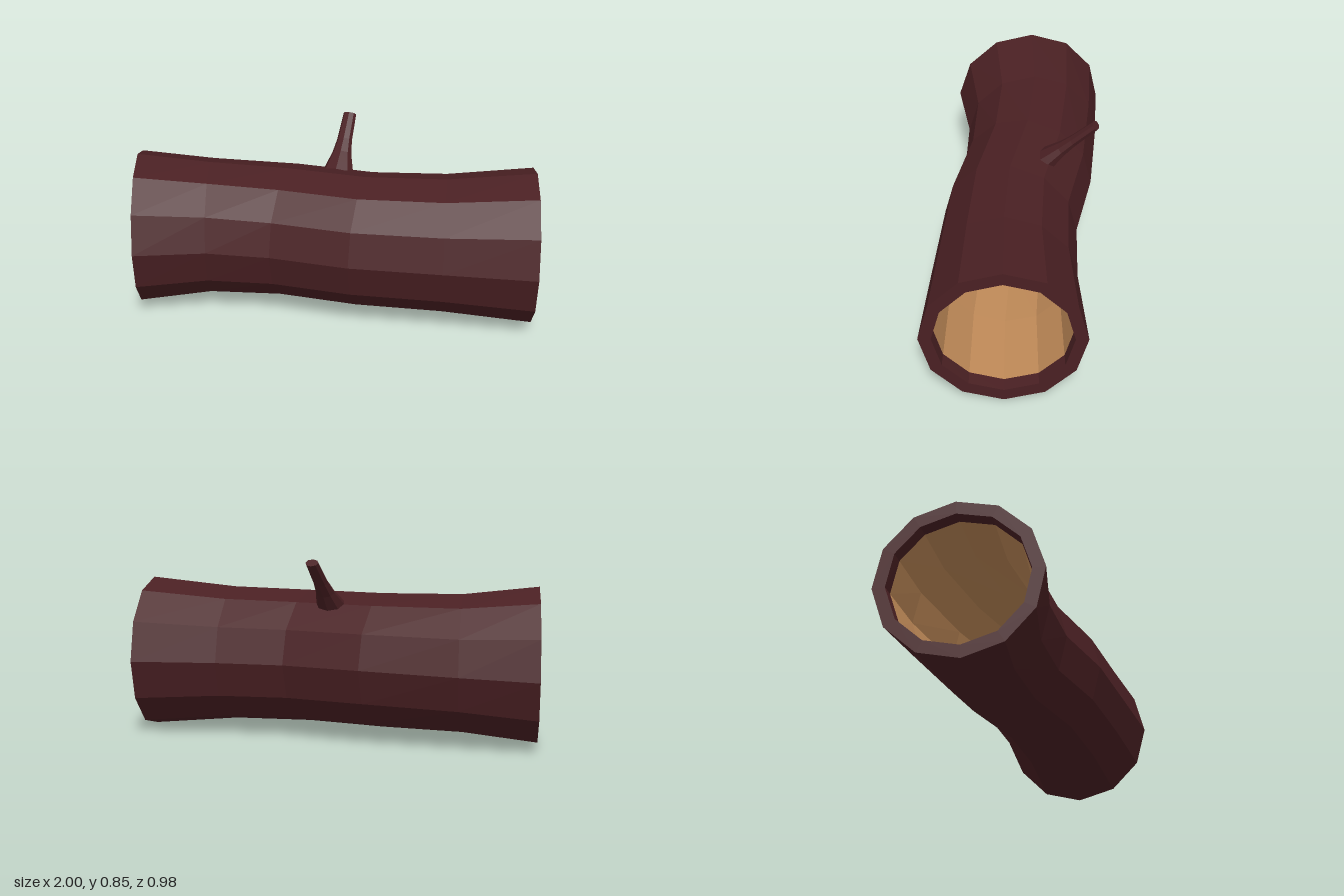
import * as THREE from 'three';

const SIDES = 12;

// Cross-sections of the log: centre x/z, radii in z and y, skew of x with z, roll, hollow radius
const SECTIONS = [
  { x: -0.9, z: 0.145, rz: 0.346, ry: 0.359, skew: 0.29, roll: 0.05, hole: 0.298 },
  { x: -0.575, z: 0.052, rz: 0.31, ry: 0.32, skew: 0.25, roll: 0.03, hole: 0.282 },
  { x: -0.21, z: -0.002, rz: 0.31, ry: 0.313, skew: 0, roll: 0, hole: 0.28 },
  { x: 0.16, z: -0.002, rz: 0.31, ry: 0.313, skew: 0, roll: 0, hole: 0.28 },
  { x: 0.525, z: -0.06, rz: 0.314, ry: 0.32, skew: 0.175, roll: 0, hole: 0.284 },
  { x: 0.922, z: -0.147, rz: 0.346, ry: 0.359, skew: 0.22, roll: 0, hole: 0.298 },
];

function ring(s, inner) {
  const rz = inner ? s.hole * 0.98 : s.rz;
  const ry = inner ? s.hole * 1.01 : s.ry;
  return Array.from({ length: SIDES }, (_, j) => {
    const a = (j / SIDES) * Math.PI * 2 + s.roll;
    const dz = rz * Math.cos(a);
    return [s.x + s.skew * dz, 0.36 + ry * Math.sin(a), s.z + dz];
  });
}

function blend(a, b, t) {
  const s = {};
  for (const k in a) s[k] = a[k] + (b[k] - a[k]) * t;
  return s;
}

// Joins a run of rings into a faceted skin
function skin(rings) {
  const positions = rings.flat(2);
  const index = [];
  for (let i = 0; i < rings.length - 1; i++) {
    for (let j = 0; j < SIDES; j++) {
      const k = (j + 1) % SIDES;
      const a = i * SIDES + j, b = a + SIDES;
      const c = (i + 1) * SIDES + k, d = i * SIDES + k;
      index.push(a, b, c, a, c, d);
    }
  }
  const indexed = new THREE.BufferGeometry();
  indexed.setAttribute('position', new THREE.Float32BufferAttribute(positions, 3));
  indexed.setIndex(index);
  const geometry = indexed.toNonIndexed();
  geometry.computeVertexNormals();
  return geometry;
}

export function createModel() {
  const group = new THREE.Group();
  const barkMaterial = new THREE.MeshStandardMaterial({ color: 0x4a2023, flatShading: true });
  const woodMaterial = new THREE.MeshStandardMaterial({ color: 0xc08a58, flatShading: true });

  const add = (name, geometry, material) => {
    const mesh = new THREE.Mesh(geometry, material);
    mesh.name = name;
    group.add(mesh);
    return mesh;
  };

  const last = SECTIONS.length - 1;
  const leftLip = blend(SECTIONS[0], SECTIONS[1], 0.18);
  const rightLip = blend(SECTIONS[last], SECTIONS[last - 1], 0.15);

  // Bark: outer skin, both end rims and a short lip inside each opening
  add('bark', skin([
    ring(leftLip, true),
    ring(SECTIONS[0], true),
    ...SECTIONS.map((s) => ring(s, false)),
    ring(SECTIONS[last], true),
    ring(rightLip, true),
  ]), barkMaterial);

  // Pale wood lining the hollow, wound inward
  const hollow = [leftLip, ...SECTIONS.slice(1, last), rightLip];
  add('hollowInterior', skin(hollow.reverse().map((s) => ring(s, true))), woodMaterial);

  // Twig with a flared foot, leaning up and back
  const profile = [[0.075, 0], [0.062, 0.045], [0.046, 0.1], [0.036, 0.17], [0.031, 0.305], [0, 0.305]]
    .map(([r, y]) => new THREE.Vector2(r, y));
  const twig = add('twig', new THREE.LatheGeometry(profile, 8), barkMaterial);
  twig.position.set(-0.008, 0.617, -0.138);
  twig.rotation.x = -Math.PI / 4;
  twig.scale.z = 0.65;

  return group;
}
